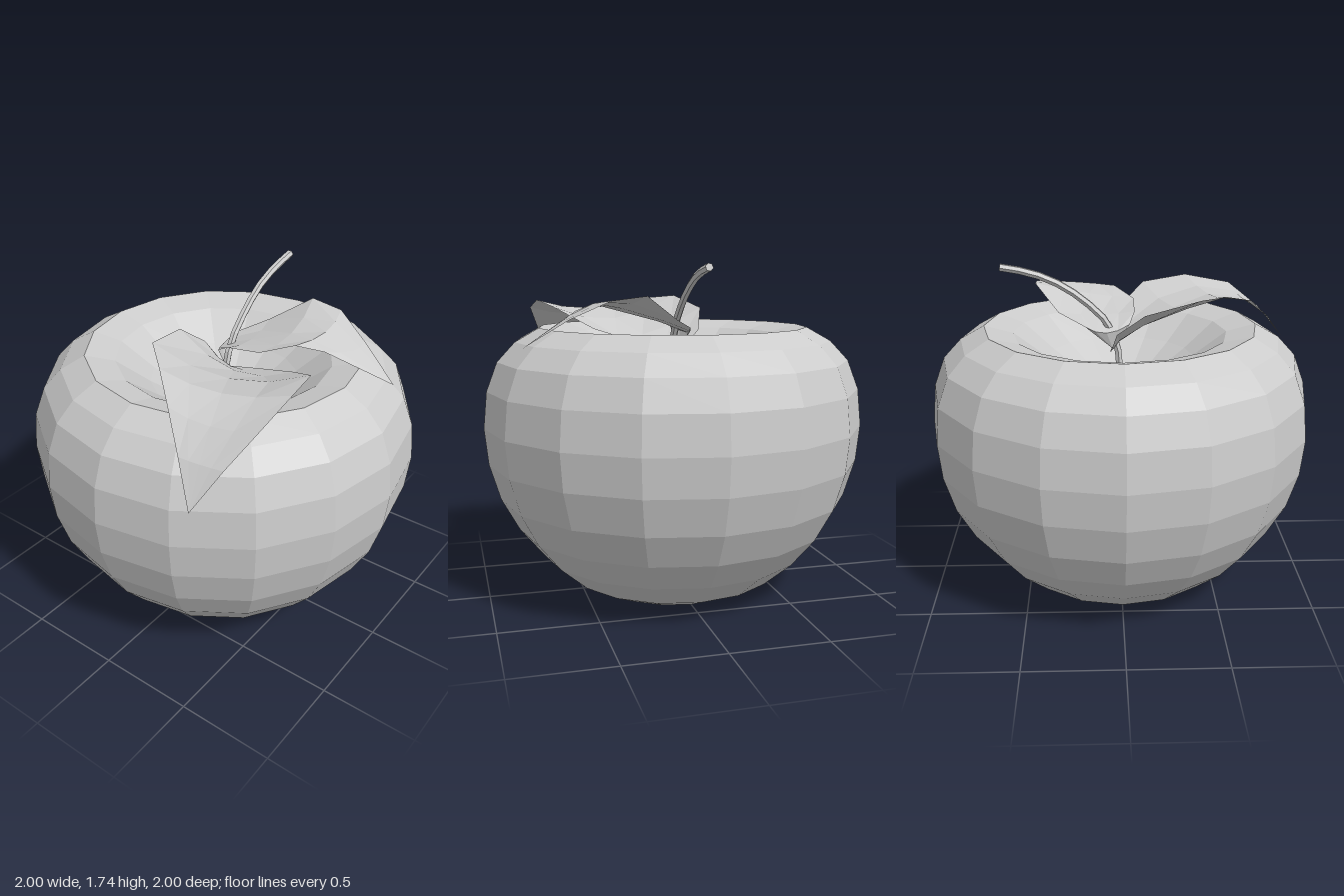
import * as THREE from 'three';

const grey = new THREE.MeshStandardMaterial({ color: 0xcccccc, flatShading: true, side: THREE.DoubleSide });
grey.name = 'lightGrey';

const V = (p) => new THREE.Vector3(...p);

function addMesh(group, name, geometry) {
  const mesh = new THREE.Mesh(geometry, grey);
  mesh.name = name;
  group.add(mesh);
  return mesh;
}

// Lofts a curved leaf: each row gives one edge, the midrib and the other edge
function leafGeometry(root, rows, tip, strips = 4) {
  const sections = [[root, root, root], ...rows, [tip, tip, tip]].map(([a, m, b]) => {
    const start = V(a), end = V(b);
    const control = V(m).multiplyScalar(2).addScaledVector(start, -0.5).addScaledVector(end, -0.5);
    return new THREE.QuadraticBezierCurve3(start, control, end).getPoints(strips);
  });
  const positions = sections.flat().flatMap((p) => p.toArray());
  const index = [];
  const n = strips + 1;
  for (let i = 0; i < sections.length - 1; i++) {
    for (let j = 0; j < strips; j++) {
      const a = i * n + j, b = a + 1, c = a + n, d = c + 1;
      if (i > 0) index.push(a, b, c);
      if (i < sections.length - 2) index.push(b, d, c);
      else if (i === 0) index.push(b, d, c);
    }
  }
  const geometry = new THREE.BufferGeometry();
  geometry.setAttribute('position', new THREE.Float32BufferAttribute(positions, 3));
  geometry.setIndex(index);
  geometry.computeVertexNormals();
  return geometry;
}

export function createModel() {
  const model = new THREE.Group();
  model.name = 'fruit';

  // Sixteen-sided body with a dimple at both ends
  const profile = [
    [0, 0.14], [0.195, 0.1], [0.383, 0.005], [0.556, 0.08], [0.707, 0.21], [0.831, 0.36],
    [0.924, 0.53], [0.981, 0.72], [1, 0.91], [0.981, 1.1], [0.924, 1.25], [0.831, 1.35],
    [0.707, 1.42], [0.556, 1.38], [0.383, 1.25], [0.195, 1.13], [0, 1.08],
  ].map(([r, y]) => new THREE.Vector2(r, y));
  addMesh(model, 'body', new THREE.LatheGeometry(profile, 16));

  // Bent stem with a flat end
  const path = new THREE.CatmullRomCurve3([
    [0, 1.08, 0], [0.01, 1.28, 0], [0.06, 1.42, 0], [0.2, 1.56, -0.005],
    [0.33, 1.645, -0.01], [0.46, 1.695, -0.01], [0.61, 1.725, -0.015],
  ].map(V));
  addMesh(model, 'stem', new THREE.TubeGeometry(path, 10, 0.02, 6));
  const stemEnd = addMesh(model, 'stemEnd', new THREE.CircleGeometry(0.02, 6));
  stemEnd.position.copy(path.getPoint(1));
  stemEnd.quaternion.setFromUnitVectors(new THREE.Vector3(0, 0, 1), path.getTangent(1));

  // Long leaf drooping over the shoulder
  addMesh(model, 'longLeaf', leafGeometry([0.05, 1.28, -0.03], [
    [[0.02, 1.4, -0.14], [0, 1.32, 0.04], [0.04, 1.34, 0.2]],
    [[-0.12, 1.51, -0.19], [-0.1, 1.37, 0.14], [0, 1.41, 0.42]],
    [[-0.41, 1.57, -0.12], [-0.3, 1.45, 0.25], [-0.15, 1.52, 0.61]],
    [[-0.56, 1.55, 0.05], [-0.5, 1.5, 0.36], [-0.4, 1.55, 0.67]],
    [[-0.72, 1.49, 0.23], [-0.7, 1.46, 0.45], [-0.66, 1.5, 0.68]],
    [[-0.85, 1.36, 0.39], [-0.84, 1.36, 0.5], [-0.83, 1.37, 0.62]],
  ], [-0.97, 1.2, 0.54]));

  // Short leaf folding down at the front
  addMesh(model, 'shortLeaf', leafGeometry([0.04, 1.3, -0.03], [
    [[-0.05, 1.42, 0], [0.07, 1.39, -0.06], [0.18, 1.42, -0.05]],
    [[-0.08, 1.47, 0.08], [0.1, 1.45, 0.1], [0.32, 1.47, 0.06]],
    [[-0.08, 1.5, 0.27], [0.16, 1.52, 0.3], [0.45, 1.59, 0.24]],
    [[0.02, 1.54, 0.41], [0.22, 1.55, 0.46], [0.45, 1.57, 0.41]],
    [[0.1, 1.51, 0.53], [0.24, 1.48, 0.6], [0.37, 1.48, 0.6]],
  ], [0.29, 1.34, 0.82]));

  return model;
}
